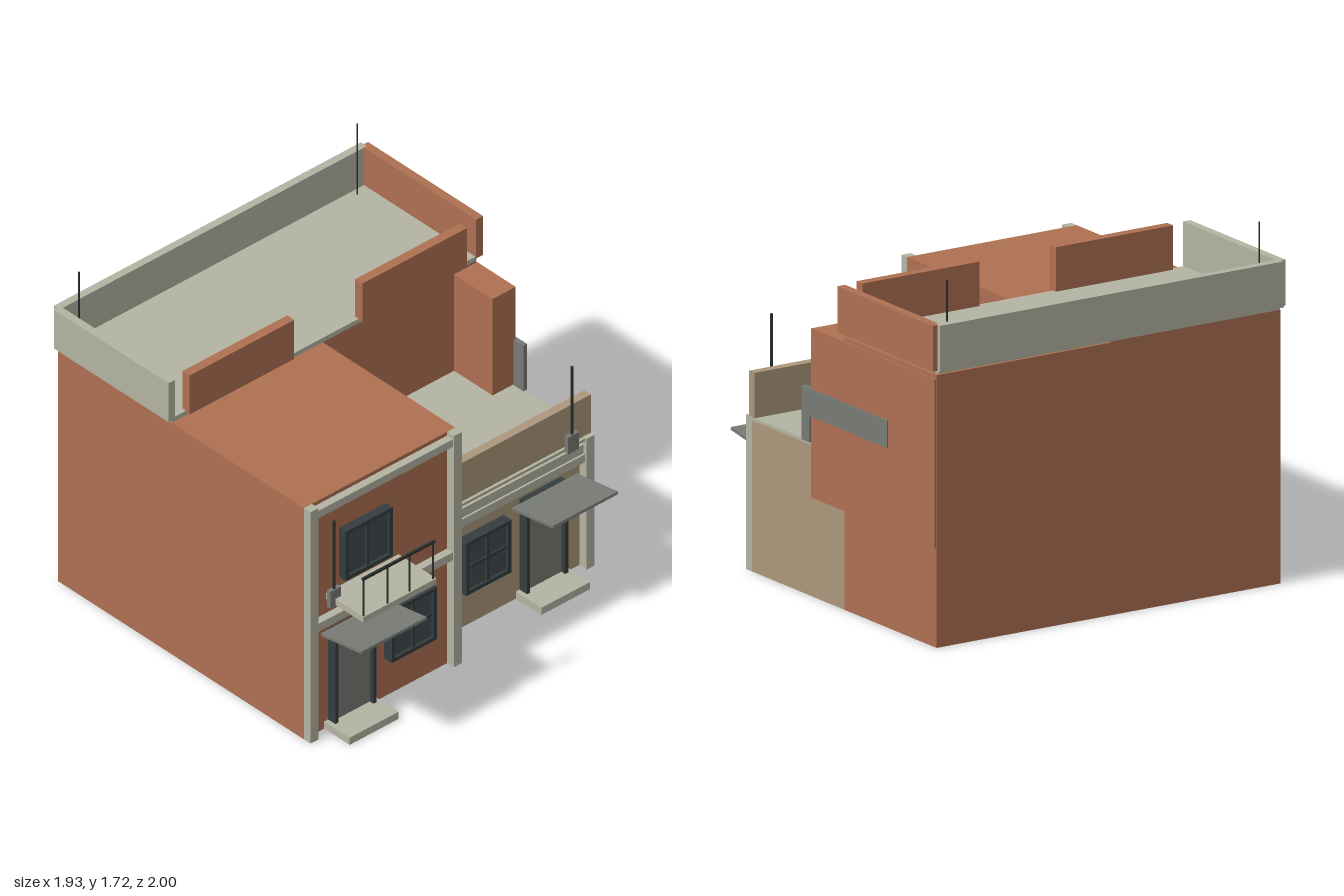
import * as THREE from 'three';

const paint = (name, color) => {
  const m = new THREE.MeshStandardMaterial({ color });
  m.name = name;
  return m;
};

export function createModel() {
  const model = new THREE.Group();
  model.name = 'terraceHouses';
  const brick = paint('brick', 0xae7052);
  const sage = paint('sageConcrete', 0xb4b4a3);
  const tan = paint('tanPlaster', 0xac977b);
  const grey = paint('greyMetal', 0x787b74);
  const dark = paint('darkFrame', 0x343d3f);
  const glass = paint('darkGlass', 0x414c4e);
  const black = paint('blackIron', 0x2c2e2e);

  // Box given by its limits on each axis
  const box = (name, mat, x0, x1, y0, y1, z0, z1, parent = model) => {
    const mesh = new THREE.Mesh(new THREE.BoxGeometry(x1 - x0, y1 - y0, z1 - z0), mat);
    mesh.position.set((x0 + x1) / 2, (y0 + y1) / 2, (z0 + z1) / 2);
    mesh.name = name;
    parent.add(mesh);
    return mesh;
  };
  const pole = (name, x, y0, y1, z, r) => {
    const mesh = new THREE.Mesh(new THREE.CylinderGeometry(r, r, y1 - y0, 8), black);
    mesh.position.set(x, (y0 + y1) / 2, z);
    mesh.name = name;
    model.add(mesh);
  };

  // Main walls
  box('tallHouse', brick, -0.945, -0.015, 0, 1.295, -0.97, 0.69);
  box('rearBlock', brick, -0.015, 0.94, 0, 1.29, -0.97, -0.22);
  box('lowHouse', tan, -0.015, 0.94, 0, 0.715, -0.22, 0.53);
  box('sideBay', brick, 0.805, 0.947, 0.47, 1.27, -0.965, 0.04);

  // Terrace and its parapet
  box('terraceFloor', sage, -0.015, 0.94, 0.715, 0.73, -0.22, 0.57);
  box('terraceParapet', tan, -0.015, 0.94, 0.73, 0.945, 0.51, 0.555);

  // Facade pillars and beams
  for (const x of [-0.945, -0.065]) box('tallPillar', sage, x, x + 0.05, 0, 1.295, 0.69, 0.735);
  for (const x of [-0.015, 0.892]) box('lowPillar', sage, x, x + 0.048, 0, 0.732, 0.53, 0.58);
  box('topBeam', sage, -0.895, -0.065, 1.233, 1.275, 0.69, 0.73);
  box('middleBeam', sage, -0.895, -0.065, 0.598, 0.642, 0.69, 0.73);
  box('lowBeam', sage, 0.033, 0.892, 0.598, 0.642, 0.53, 0.57);
  box('lowUpperBeam', sage, 0.033, 0.892, 0.642, 0.692, 0.53, 0.56);

  // Roof terrace with surrounding walls
  box('roofFloor', sage, -0.94, 0.93, 1.295, 1.32, -0.97, -0.205);
  box('roofBackWall', sage, -0.945, 0.94, 1.312, 1.53, -0.997, -0.957);
  box('roofLeftWall', sage, -0.967, -0.927, 1.312, 1.53, -0.975, -0.2);
  box('roofRightWall', brick, 0.922, 0.965, 1.312, 1.53, -0.977, -0.2);
  for (const x of [-0.855, 0.205]) box('roofFrontPanel', brick, x, x + 0.642, 1.312, 1.53, -0.228, -0.18);
  for (const x of [-0.858, 0.852]) pole('antenna', x, 1.32, 1.715, -0.925, 0.004);

  // Grey plate wrapped over the side bay
  box('sidePlate', grey, 0.945, 0.953, 0.855, 0.985, -0.585, 0.045);
  box('sidePlateEnd', grey, 0.93, 0.953, 0.73, 0.985, 0.045, 0.11);

  // Window: glass, outer frame and glazing bars
  const addWindow = (x0, x1, y0, y1, wall, depth, rows) => {
    const g = new THREE.Group();
    g.name = 'window';
    model.add(g);
    const t = 0.02, z = wall + depth;
    const xm = (x0 + x1) / 2, ym = (y0 + y1) / 2;
    box('windowGlass', glass, x0 + t, x1 - t, y0 + t, y1 - t, wall, z - 0.015, g);
    for (const x of [x0, x1 - t]) box('windowJamb', dark, x, x + t, y0, y1, wall, z, g);
    for (const y of [y0, y1 - t]) box('windowRail', dark, x0 + t, x1 - t, y, y + t, wall, z, g);
    box('windowMullion', dark, xm - 0.008, xm + 0.008, y0 + t, y1 - t, wall, z - 0.005, g);
    if (rows > 1) box('windowBar', dark, x0 + t, x1 - t, ym - 0.008, ym + 0.008, wall, z - 0.007, g);
  };
  addWindow(-0.73, -0.44, 0.805, 1.08, 0.69, 0.045, 1);
  addWindow(-0.452, -0.175, 0.215, 0.508, 0.69, 0.052, 2);
  addWindow(0.148, 0.425, 0.215, 0.508, 0.53, 0.055, 2);

  // Entrance: door, frame, step and tilted canopy
  const addEntrance = (x, wall, canopyX, canopyY) => {
    const g = new THREE.Group();
    g.name = 'entrance';
    model.add(g);
    const w = 0.127, t = 0.02, z = wall + 0.05;
    box('door', grey, x - w + t, x + w - t, 0.04, 0.525, wall, wall + 0.025, g);
    for (const s of [-1, 1]) {
      const c = x + s * (w - t / 2);
      box('doorJamb', dark, c - t / 2, c + t / 2, 0.04, 0.55, wall, z, g);
    }
    box('doorHead', dark, x - w + t, x + w - t, 0.525, 0.55, wall, z, g);
    box('doorStep', sage, x - 0.15, x + 0.15, 0, 0.04, wall, wall + 0.172, g);
    const canopy = box('canopy', grey, canopyX, canopyX + 0.4, canopyY - 0.007, canopyY + 0.007, wall + 0.03, wall + 0.31, g);
    canopy.rotation.x = -0.165;
  };
  addEntrance(-0.67, 0.69, -0.87, 0.589);
  addEntrance(0.652, 0.53, 0.45, 0.566);

  // Balcony with front railing
  box('balconySlab', sage, -0.81, -0.363, 0.722, 0.755, 0.69, 0.945);
  box('balconyHandrail', black, -0.81, -0.367, 0.955, 0.967, 0.93, 0.942);
  for (const x of [-0.803, -0.655, -0.52, -0.375]) pole('balconyPost', x, 0.755, 0.957, 0.936, 0.005);

  // Wall-mounted poles in grey holders
  for (const [x, z] of [[-0.808, 0.742], [0.798, 0.583]]) {
    box('poleHolder', grey, x - 0.033, x + 0.033, 0.715, 0.808, z - 0.012, z + 0.012);
    pole('facadePole', x, 0.8, 1.185, z, 0.007);
  }
  return model;
}
